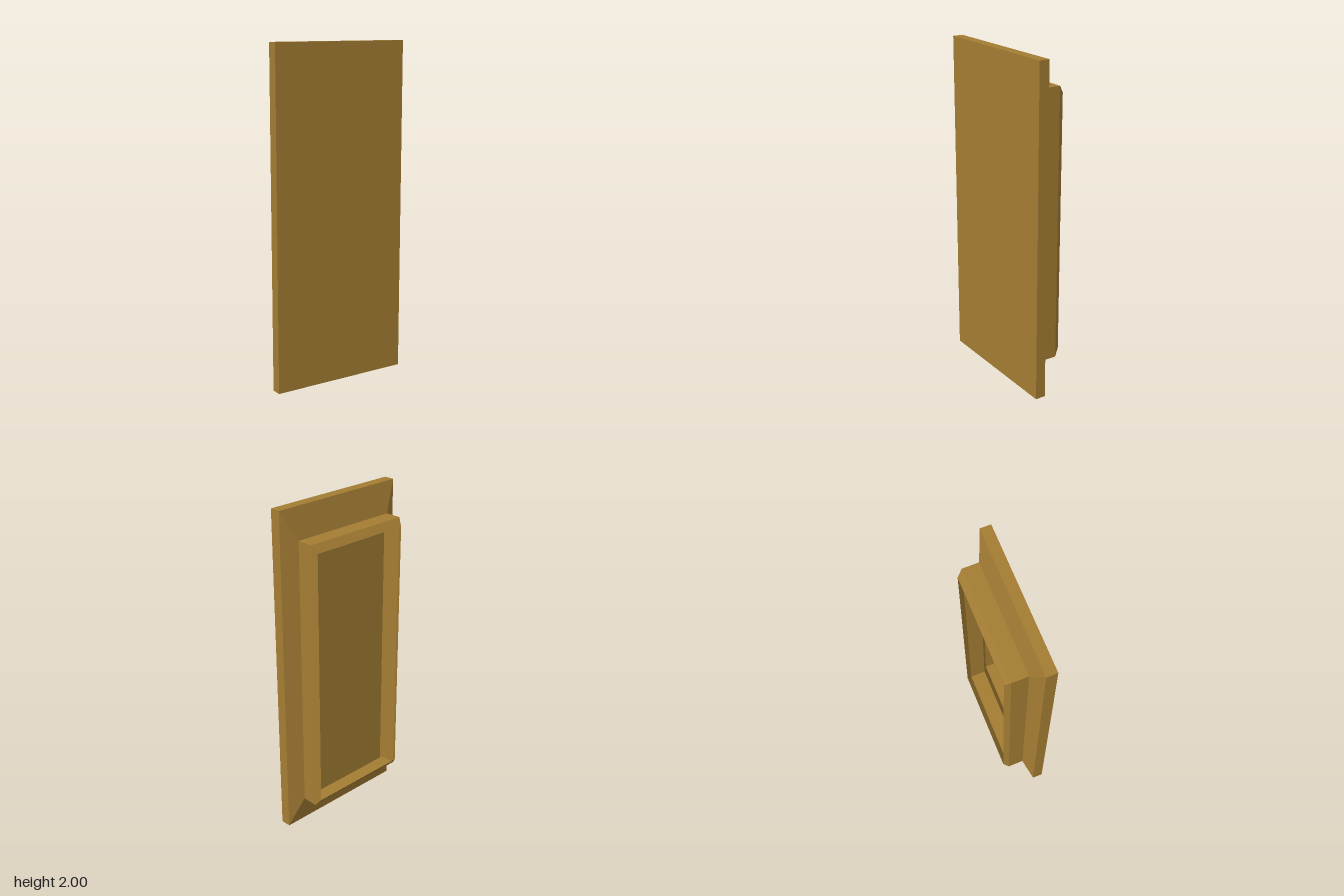
import * as THREE from 'three';

// Rectangular cross-sections, each [halfWidth, bottom, top, z]
const FRONT = [0.433, 0, 2, 0.118];
const SLAB_BACK = [0.433, 0, 2, 0.055];
const FRAME_BASE = [0.34, 0.177, 1.825, 0.011];
const FRAME_EDGE = [0.34, 0.177, 1.825, -0.086];
const RIM = [0.322, 0.22, 1.78, -0.118];

// Corners run counter-clockwise as seen from the back
function corners([w, bottom, top, z]) {
  return [[w, bottom, z], [-w, bottom, z], [-w, top, z], [w, top, z]];
}

// Joins successive rectangles with flat walls; capStart closes the first one
function loft(sections, capStart = false) {
  const positions = [];
  const quad = (a, b, c, d) => positions.push(...a, ...b, ...c, ...a, ...c, ...d);
  const loops = sections.map(corners);
  for (let s = 0; s < loops.length - 1; s++) {
    const p = loops[s], q = loops[s + 1];
    for (let i = 0; i < 4; i++) {
      const j = (i + 1) % 4;
      quad(p[i], p[j], q[j], q[i]);
    }
  }
  if (capStart) quad(...loops[0].slice().reverse());
  const geometry = new THREE.BufferGeometry();
  geometry.setAttribute('position', new THREE.Float32BufferAttribute(positions, 3));
  geometry.computeVertexNormals();
  return geometry;
}

export function createModel() {
  const group = new THREE.Group();
  group.name = 'hollowPanel';

  // Double-sided because the whole panel is a thin shell, open at the back
  const ochre = new THREE.MeshStandardMaterial({ color: 0xa47d33, side: THREE.DoubleSide });
  ochre.name = 'ochre';

  const add = (name, geometry) => {
    const mesh = new THREE.Mesh(geometry, ochre);
    mesh.name = name;
    group.add(mesh);
  };

  // Flat front plate with its straight rim
  add('frontPlate', loft([FRONT, SLAB_BACK], true));
  // Slope from the plate in to the base of the frame
  add('slopedBorder', loft([SLAB_BACK, FRAME_BASE]));
  // Raised frame with a lip leaning inwards around the opening
  add('raisedFrame', loft([FRAME_BASE, FRAME_EDGE, RIM]));

  return group;
}
